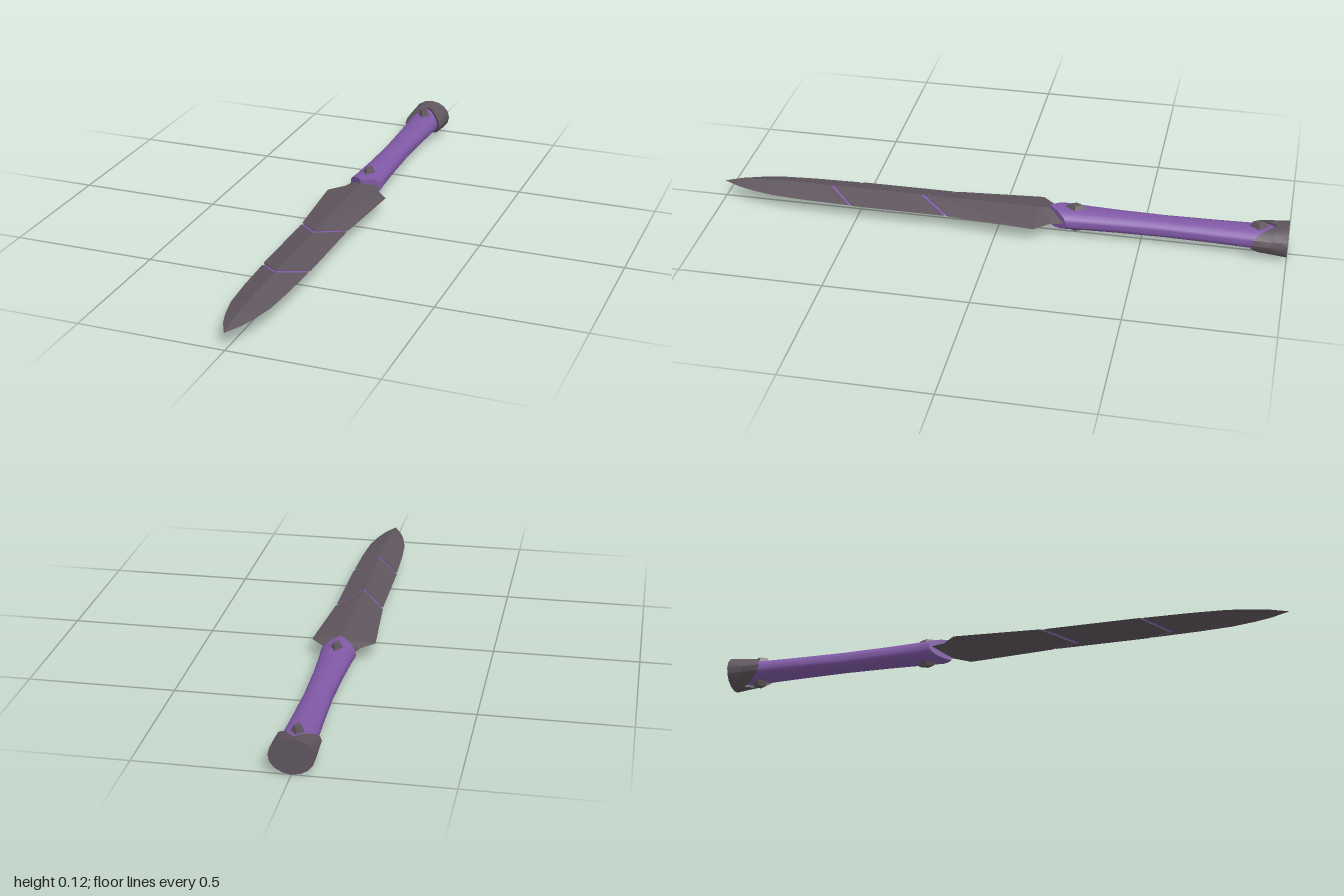
import * as THREE from 'three';
import { toCreasedNormals } from 'three/addons/utils/BufferGeometryUtils.js';

const AXIS_Y = 0.062;

// Loft along +z through elliptical rings of n points. Row: [z at sides, z at top/bottom, half width, half height].
// Differing z values give the chevron-shaped ends.
function loft(rows, n, crease) {
  const pos = [], index = [];
  for (const [zSide, zMid, w, h] of rows) {
    for (let i = 0; i < n; i++) {
      const a = (i / n) * Math.PI * 2, c = Math.cos(a);
      pos.push(w * c, h * Math.sin(a), zMid + (zSide - zMid) * Math.abs(c));
    }
  }
  const last = rows.length - 1, back = rows.length * n, front = back + 1;
  pos.push(0, 0, rows[0][1], 0, 0, rows[last][1]);
  for (let i = 0; i < n; i++) {
    const j = (i + 1) % n;
    for (let r = 0; r < last; r++) {
      const a = r * n + i, b = r * n + j;
      index.push(a, b, b + n, a, b + n, a + n);
    }
    index.push(back, j, i, front, last * n + i, last * n + j);
  }
  const g = new THREE.BufferGeometry();
  g.setAttribute('position', new THREE.Float32BufferAttribute(pos, 3));
  g.setIndex(index);
  return toCreasedNormals(g, crease);
}

export function createModel() {
  const metal = new THREE.MeshStandardMaterial({ color: 0x5f565d });
  metal.name = 'dark metal';
  const purple = new THREE.MeshStandardMaterial({ color: 0x8059a6 });
  purple.name = 'purple';

  const model = new THREE.Group();
  model.name = 'dagger';
  const add = (name, geometry, material, y = AXIS_Y, z = 0) => {
    const mesh = new THREE.Mesh(geometry, material);
    mesh.name = name;
    mesh.position.set(0, y, z);
    model.add(mesh);
    return mesh;
  };

  // Blade: three diamond-section segments separated by chevron grooves
  add('bladeBase', loft([
    [-0.25, -0.25, 0.05, 0.024],
    [-0.19, -0.19, 0.064, 0.026],
    [-0.14, -0.14, 0.11, 0.026],
    [0.16, 0.265, 0.086, 0.026],
  ], 4, 0.01), metal);
  add('bladeMiddle', loft([
    [0.177, 0.282, 0.084, 0.026],
    [0.505, 0.595, 0.083, 0.026],
  ], 4, 0.01), metal);
  add('bladeTip', loft([
    [0.52, 0.61, 0.081, 0.026],
    [0.68, 0.7, 0.076, 0.026],
    [0.8, 0.8, 0.067, 0.025],
    [0.88, 0.88, 0.05, 0.02],
    [0.94, 0.94, 0.031, 0.014],
    [1, 1, 0.001, 0.001],
  ], 4, 0.01), metal);

  // Purple core showing through the grooves
  add('bladeCore', loft([
    [0.1, 0.2, 0.08, 0.0235],
    [0.56, 0.65, 0.074, 0.0235],
  ], 4, 0.01), purple);

  // Grip: waisted oval with a pointed front collar
  add('grip', loft([
    [-0.955, -0.955, 0.058, 0.04],
    [-0.88, -0.88, 0.056, 0.037],
    [-0.75, -0.75, 0.051, 0.035],
    [-0.58, -0.58, 0.047, 0.034],
    [-0.42, -0.42, 0.05, 0.035],
    [-0.28, -0.28, 0.057, 0.037],
    [-0.245, -0.18, 0.061, 0.038],
  ], 24, 0.7), purple);

  // Pommel: flared cap with V notches above and below
  add('pommel', loft([
    [-1, -1, 0.072, 0.06],
    [-0.94, -0.975, 0.072, 0.053],
    [-0.88, -0.96, 0.07, 0.048],
  ], 16, 0.5), metal);

  // Diamond studs on both faces of the grip
  for (const side of [1, -1]) {
    const face = side > 0 ? 'Top' : 'Bottom';
    for (const [name, z, halfLength, height] of [
      ['gripStud', -0.27, 0.05, 0.05],
      ['pommelStud', -0.9, 0.042, 0.056],
    ]) {
      const g = new THREE.CylinderGeometry(0.5, 1, height - 0.025, 4).toNonIndexed();
      g.scale(0.026, 1, halfLength);
      g.computeVertexNormals();
      const stud = add(name + face, g, metal, AXIS_Y + side * (height + 0.025) / 2, z);
      if (side < 0) stud.rotation.z = Math.PI;
    }
  }
  return model;
}
